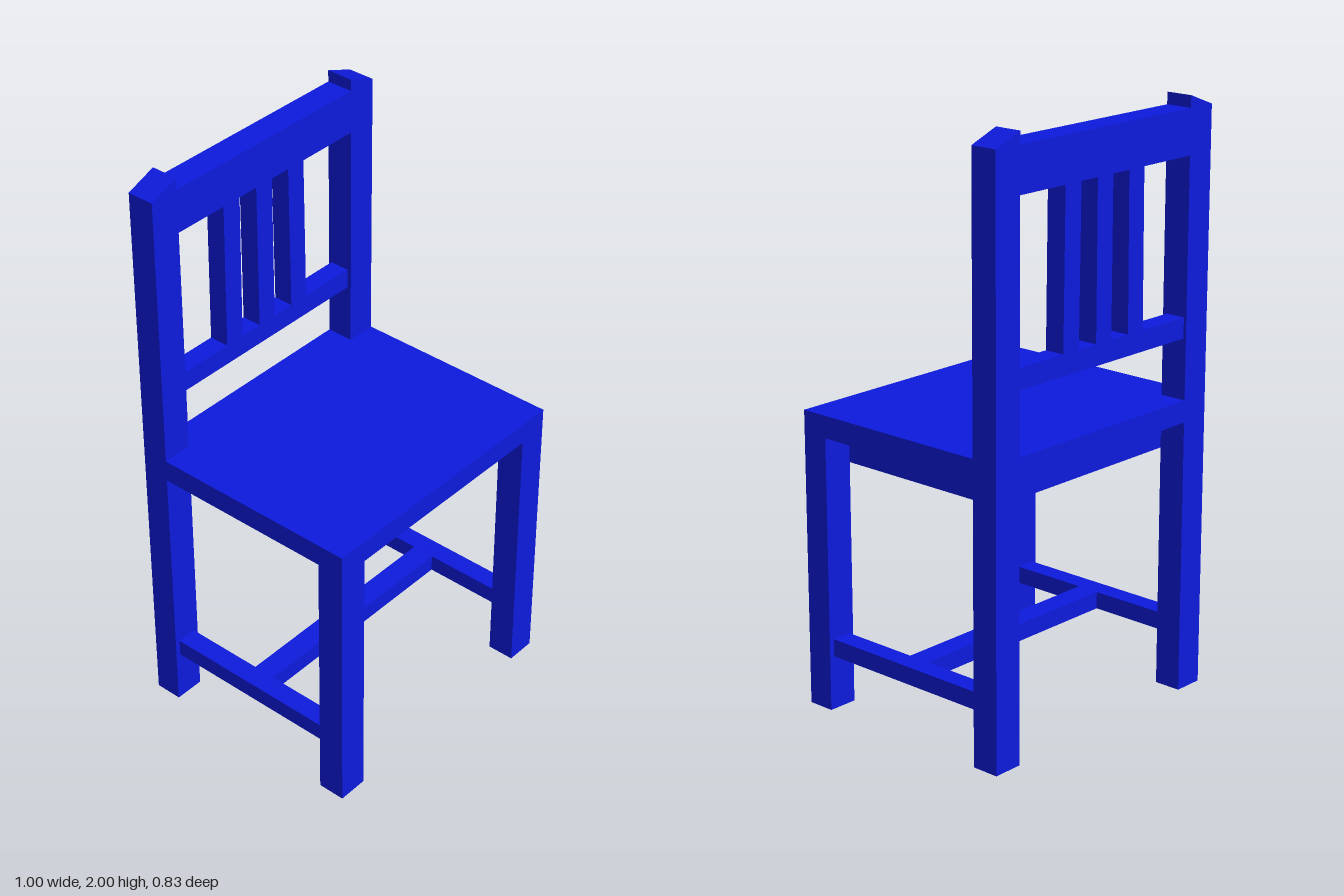
import * as THREE from 'three';

const material = new THREE.MeshStandardMaterial({ color: 0x0d1add, flatShading: true });

// Outer half-size of the chair and the section of its legs
const HX = 0.5, HZ = 0.415, LEG_X = 0.105, LEG_Z = 0.095;
const IN_X = HX - LEG_X, IN_Z = HZ - LEG_Z;
const SEAT_BOTTOM = 0.935, SEAT_TOP = 1.01;

export function createModel() {
  const chair = new THREE.Group();
  chair.name = 'chair';

  const add = (name, geometry) => {
    const mesh = new THREE.Mesh(geometry, material);
    mesh.name = name;
    chair.add(mesh);
    return mesh;
  };
  // Box given by its limits on each axis
  const box = (name, x0, x1, y0, y1, z0, z1) => {
    const mesh = add(name, new THREE.BoxGeometry(x1 - x0, y1 - y0, z1 - z0));
    mesh.position.set((x0 + x1) / 2, (y0 + y1) / 2, (z0 + z1) / 2);
    return mesh;
  };
  // Box centred on x and z
  const block = (name, x, z, w, d, y0, y1) =>
    box(name, x - w / 2, x + w / 2, y0, y1, z - d / 2, z + d / 2);

  // Seat slab
  box('seat', -HX, HX, SEAT_BOTTOM, SEAT_TOP, -HZ, HZ);

  const legX = HX - LEG_X / 2, legZ = HZ - LEG_Z / 2;
  const apron = 0.03;
  for (const s of [-1, 1]) {
    const side = s > 0 ? 'left' : 'right';

    // Legs
    block(side + 'FrontLeg', s * legX, legZ, LEG_X, LEG_Z, 0, SEAT_BOTTOM);
    block(side + 'BackLeg', s * legX, -legZ, LEG_X, LEG_Z, 0, SEAT_BOTTOM);

    // Back post with a sloping top, higher on the inside
    const post = new THREE.Shape([
      [s * IN_X, SEAT_TOP], [s * HX, SEAT_TOP], [s * HX, 1.96], [s * IN_X, 2],
    ].map(([x, y]) => new THREE.Vector2(x, y)));
    add(side + 'BackPost', new THREE.ExtrudeGeometry(post, { depth: LEG_Z, bevelEnabled: false }))
      .position.z = -HZ;

    // Apron frame under the seat, set inside the legs
    block(side + 'Apron', s * (IN_X - apron / 2), 0, apron, 2 * IN_Z, 0.83, SEAT_BOTTOM);
    block(s > 0 ? 'frontApron' : 'backApron', 0, s * (IN_Z - apron / 2),
      2 * (IN_X - apron), apron, 0.83, SEAT_BOTTOM);

    // Low side stretcher
    block(side + 'Stretcher', s * legX, 0, 0.07, 2 * IN_Z, 0.185, 0.245);
  }

  // Cross stretcher joining the two side stretchers
  const reach = legX - 0.035;
  box('crossStretcher', -reach, reach, 0.185, 0.245, -0.04, 0.04);

  // Back rails
  box('topRail', -IN_X, IN_X, 1.81, 1.96, -HZ, -IN_Z);
  box('lowerRail', -IN_X, IN_X, 1.215, 1.285, -0.405, -0.335);

  // Slats, the outer ones leaning slightly inward
  for (const i of [-1, 0, 1]) {
    const slat = block('backSlat', i * 0.15, -0.37, 0.072, 0.07, 1.28, 1.815);
    slat.rotation.z = i * 0.01;
  }

  return chair;
}
